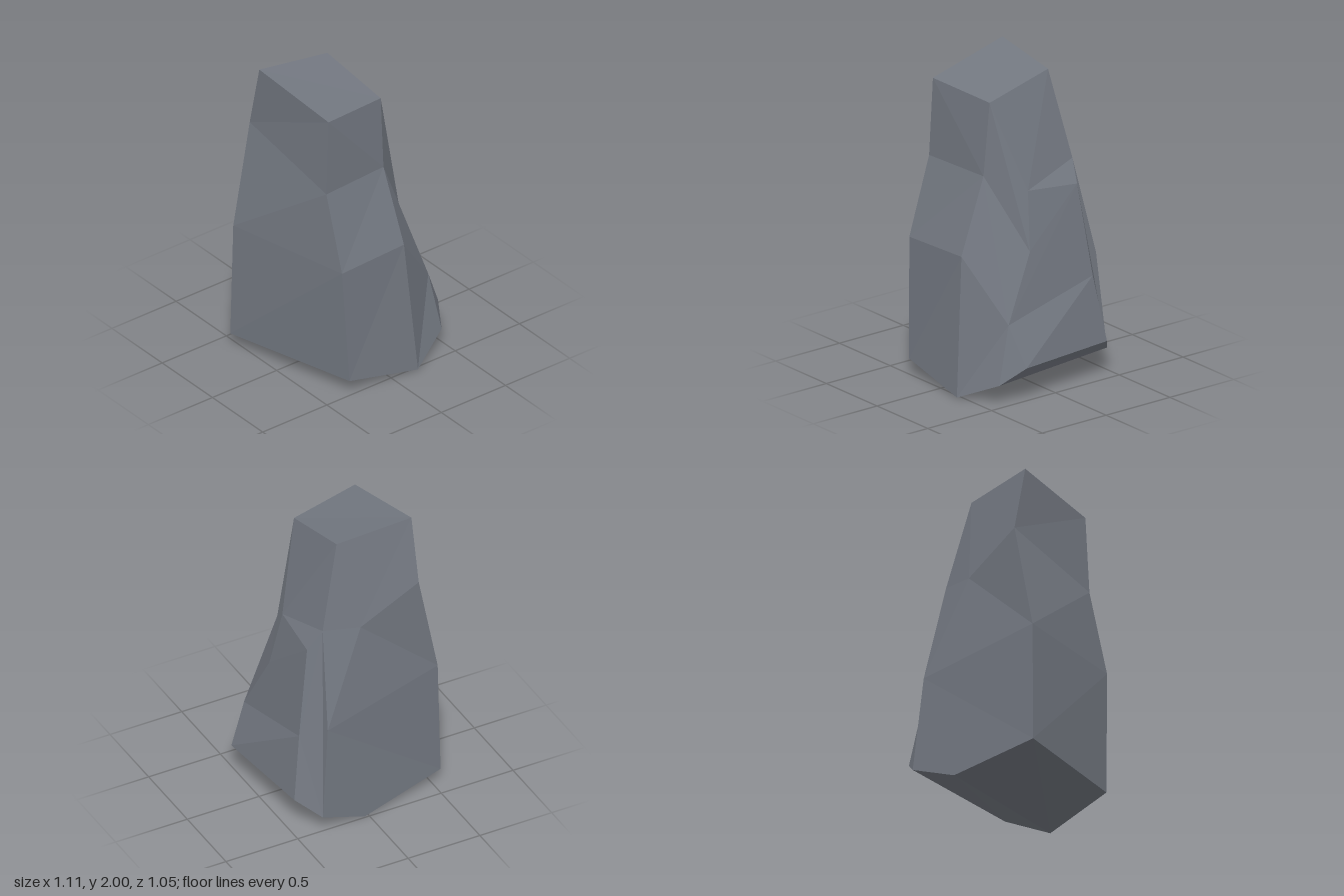
import * as THREE from 'three';

// Faceted standing rock: vertical ridge lines (listed top to bottom) stitched together.
export function createModel() {
  const group = new THREE.Group();
  group.name = 'rock';
  const stone = new THREE.MeshStandardMaterial({ color: 0x727780, flatShading: true });
  stone.name = 'slate grey';

  // Ridges
  const backLeft = [[-0.4, 2, -0.3], [-0.4, 1.57, -0.395], [-0.54, 0.88, -0.38], [-0.555, 0.095, -0.39]];
  const frontLeft = [[-0.33, 1.89, 0.3], [-0.355, 1.38, 0.31], [-0.355, 0.88, 0.465], [-0.32, 0.1, 0.495]];
  const frontRight = [[0.135, 1.845, 0.225], [0.125, 1.37, 0.265], [0.14, 0.89, 0.45], [0.19, 0, 0.525]];
  const side = [[0.305, 1.28, 0.06], [0.375, 0.91, 0.1], [0.435, 0.495, 0.315], [0.465, 0.13, 0.41]];
  const sideFoot = [0.55, 0.235, 0.265];
  const backRight = [[0.33, 1.25, -0.305], [0.415, 0.66, -0.36], [0.48, 0.235, -0.42]];
  const corner = [[0.24, 1.385, -0.34], [0.34, 0.125, -0.53]];
  const back = [[0.1, 1.945, -0.26], [0, 1.36, -0.385], [0.285, 0.74, -0.49], [0.025, 0, -0.49]];

  const points = [];
  const fan = (...p) => {
    for (let i = 1; i < p.length - 1; i++) points.push(...p[0], ...p[i], ...p[i + 1]);
  };
  // Fill between two ridges; each letter says which ridge steps down next
  const stitch = (left, right, steps) => {
    let i = 0, j = 0;
    for (const s of steps) {
      if (s === 'l') fan(left[i], left[++i], right[j]);
      else fan(left[i], right[j + 1], right[j++]);
    }
  };

  // Walls, going round from the left side
  stitch(backLeft, frontLeft, 'lrlrlr');
  stitch(frontLeft, frontRight, 'rllrlr');
  stitch(frontRight, side, 'rlrllr');
  stitch([frontRight[0], ...side.slice(0, 3), sideFoot], [back[0], corner[0], ...backRight], 'lrrllrlr');
  fan(side[2], side[3], sideFoot);
  stitch(backRight, corner, 'lrl');
  stitch(corner, back, 'rrlr');
  stitch(back, backLeft, 'lrrlrl');

  // Top, lower bevels and base
  fan(backLeft[0], frontLeft[0], frontRight[0], back[0]);
  fan(corner[1], backRight[2], sideFoot, side[3]);
  fan(back[3], corner[1], side[3], frontRight[3]);
  fan(backLeft[3], back[3], frontRight[3], frontLeft[3]);

  const geometry = new THREE.BufferGeometry();
  geometry.setAttribute('position', new THREE.Float32BufferAttribute(points, 3));
  geometry.computeVertexNormals();
  const mesh = new THREE.Mesh(geometry, stone);
  mesh.name = 'rockBody';
  group.add(mesh);
  return group;
}
